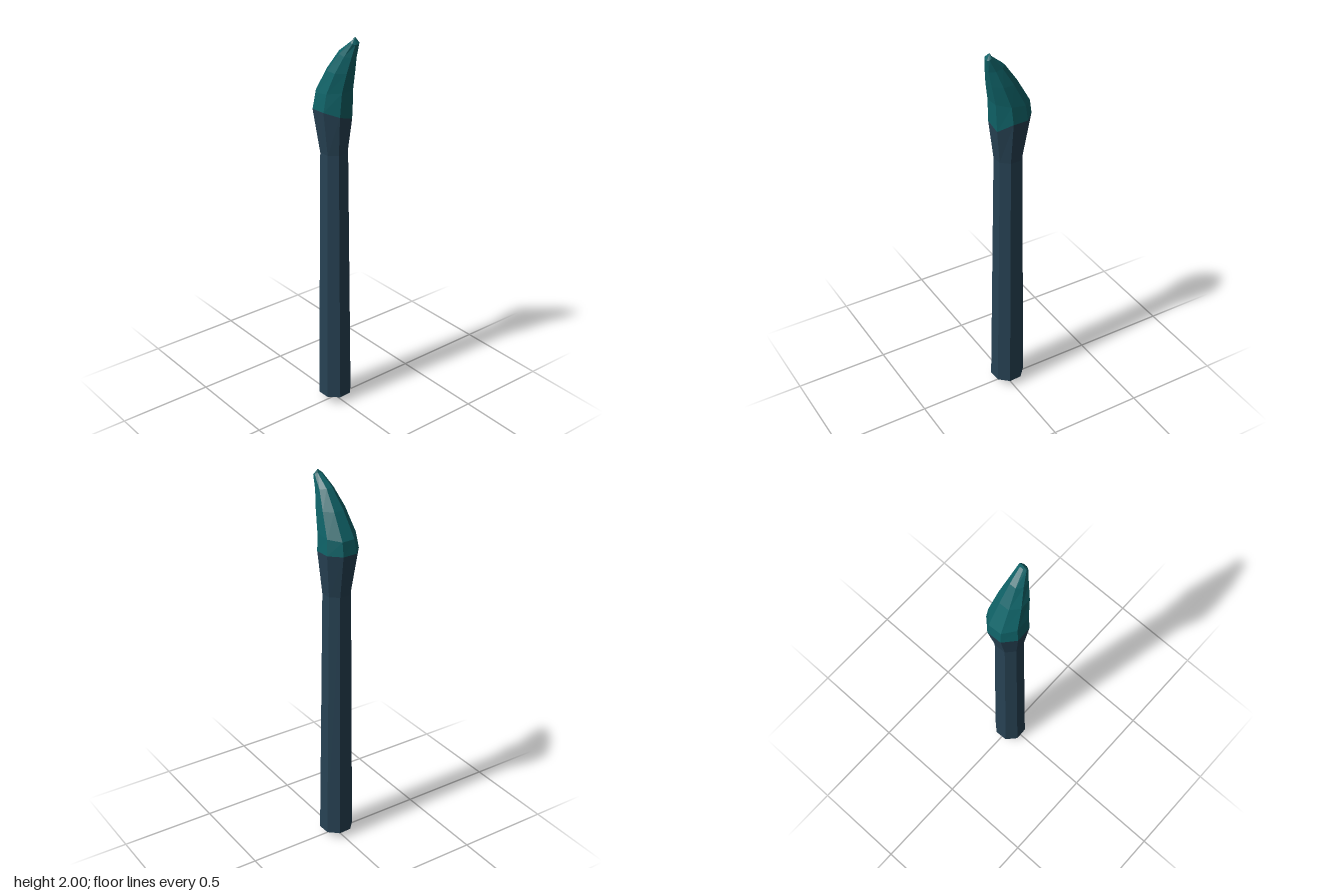
import * as THREE from 'three';

const SIDES = 8;
const TURN = THREE.MathUtils.degToRad(20);

// Eight-sided cross-section; lift(cos, sin, k) offsets each corner's height
function ring(x, y, z, rx, rz, lift = () => 0) {
  return Array.from({ length: SIDES }, (_, k) => {
    const a = TURN + (k / SIDES) * Math.PI * 2;
    const c = Math.cos(a), s = Math.sin(a);
    return new THREE.Vector3(x + rx * c, y + lift(c, s, k), z + rz * s);
  });
}

// A ring collapsed to one point
const point = (x, y, z) => ring(x, y, z, 0, 0);

// Skin a list of cross-sections, from the bottom up
function loft(name, rings, material) {
  const pts = [];
  const tri = (a, b, c) => {
    const area = b.clone().sub(a).cross(c.clone().sub(a)).length();
    if (area > 1e-9) pts.push(a, b, c);
  };
  for (let i = 0; i < rings.length - 1; i++) {
    const lo = rings[i], hi = rings[i + 1];
    for (let k = 0; k < SIDES; k++) {
      const n = (k + 1) % SIDES;
      tri(lo[k], hi[k], lo[n]);
      tri(lo[n], hi[k], hi[n]);
    }
  }
  const geometry = new THREE.BufferGeometry().setFromPoints(pts);
  geometry.computeVertexNormals();
  const mesh = new THREE.Mesh(geometry, material);
  mesh.name = name;
  return mesh;
}

export function createModel() {
  const slate = new THREE.MeshStandardMaterial({ color: 0x274254, flatShading: true });
  slate.name = 'dark slate';
  const teal = new THREE.MeshStandardMaterial({ color: 0x0f6267, flatShading: true });
  teal.name = 'deep teal';

  const neck = ring(-0.012, 1.41, -0.002, 0.071, 0.071);
  // The collar's rim dips on the side the tip leans towards
  const rim = ring(-0.022, 1.635, -0.001, 0.104, 0.1,
    (c, s, k) => (k === SIDES - 1 ? -0.045 : k === 0 ? -0.022 : 0));

  const group = new THREE.Group();
  group.name = 'brush';
  group.add(
    // Tapering shaft with a blunt pointed end
    loft('handle', [
      point(0.003, 0, -0.002),
      ring(-0.007, 0.04, -0.002, 0.088, 0.088),
      neck,
    ], slate),
    // Flared collar
    loft('collar', [neck, rim], slate),
    // Curved bristles leaning to +x
    loft('bristles', [
      rim,
      ring(-0.014, 1.72, -0.004, 0.102, 0.09, (c) => 0.015 * c),
      ring(0.03, 1.83, -0.01, 0.074, 0.069),
      ring(0.069, 1.915, -0.018, 0.046, 0.043, (c) => -0.01 * c),
      ring(0.108, 1.975, -0.028, 0.014, 0.024, (c) => -0.008 * c),
      point(0.102, 2, -0.033),
    ], teal),
  );
  return group;
}
